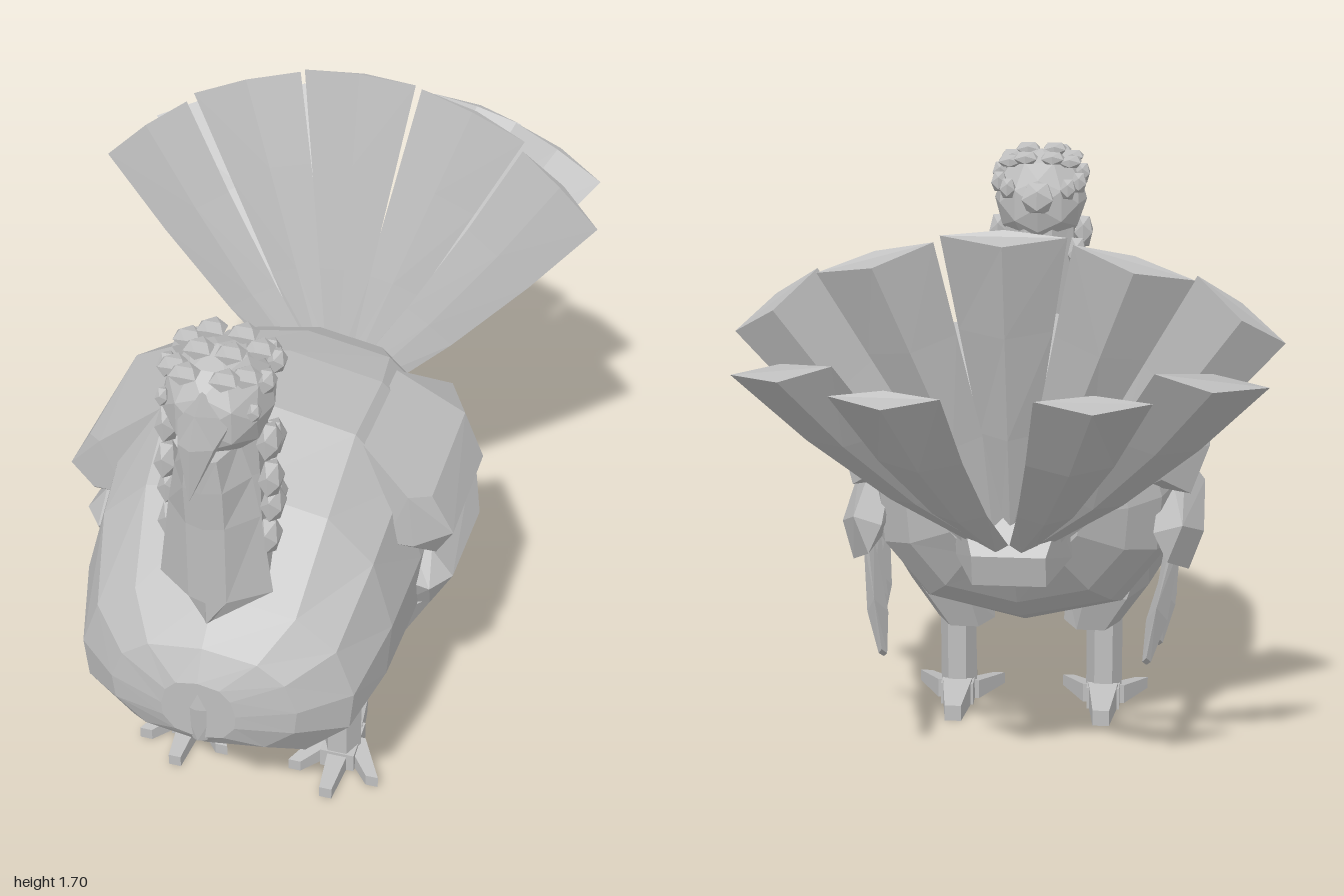
import * as THREE from 'three';
import { ConvexGeometry } from 'three/addons/geometries/ConvexGeometry.js';

const grey = new THREE.MeshStandardMaterial({ color: 0xbebebe });
grey.name = 'plain grey';

const V = (p) => new THREE.Vector3(...p);
const mirror = (points, s) => points.map(([x, y, z]) => [x * s, y, z]);
const lerp = (a, b, t) => a.map((v, i) => v + (b[i] - v) * t);

function add(parent, name, geometry) {
  const mesh = new THREE.Mesh(geometry, grey);
  mesh.name = name;
  parent.add(mesh);
  return mesh;
}

// Faceted solid around a few corner points
const hull = (points) => new ConvexGeometry(points.map(V));

// Faceted skin over closed rings, capped at both ends and always facing outwards
function loft(rings) {
  const tris = [];
  const n = rings[0].length;
  for (let r = 0; r < rings.length - 1; r++) {
    for (let i = 0; i < n; i++) {
      const j = (i + 1) % n;
      const a = rings[r][i], b = rings[r][j], c = rings[r + 1][j], d = rings[r + 1][i];
      tris.push([a, b, c], [a, c, d]);
    }
  }
  const first = rings[0], last = rings[rings.length - 1];
  for (let i = 1; i < n - 1; i++) {
    tris.push([first[0], first[i + 1], first[i]], [last[0], last[i], last[i + 1]]);
  }
  const volume = tris.reduce((s, [a, b, c]) => s + V(a).dot(V(b).cross(V(c))), 0);
  if (volume < 0) tris.forEach((t) => t.reverse());
  const g = new THREE.BufferGeometry();
  g.setAttribute('position', new THREE.Float32BufferAttribute(tris.flat(2), 3));
  g.computeVertexNormals();
  return g;
}

// Body: [z, bottom, top, half width], each on the same twelve-sided outline
function bodyGeometry() {
  const sections = [
    [0.985, 0.57, 0.76, 0.1], [0.94, 0.51, 0.84, 0.25], [0.83, 0.40, 0.93, 0.37],
    [0.64, 0.36, 1.13, 0.42], [0.42, 0.36, 1.245, 0.44], [0.15, 0.37, 1.22, 0.44],
    [-0.02, 0.45, 1.17, 0.40], [-0.14, 0.54, 1.10, 0.31], [-0.25, 0.70, 0.99, 0.18],
  ];
  const half = [[0, 1], [0.58, 0.94], [0.87, 0.78], [1, 0.52], [0.97, 0.3], [0.65, 0.08], [0, 0]];
  const outline = [...half, ...half.slice(1, -1).reverse().map(([x, y]) => [-x, y])];
  return loft(sections.map(([z, lo, hi, w]) => outline.map(([x, y]) => [x * w, lo + (hi - lo) * y, z])));
}

// Tail feather between two base corners and two tip corners, with a raised spine
function tailFeather(b0, b1, t0, t1, sag, thick) {
  const rings = [0, 0.35, 0.7, 1].map((t) => {
    const bow = 4 * t * (1 - t);
    const shift = ([x, y, z]) => [x, y - bow * sag, z];
    const p = shift(lerp(b0, t0, t)), q = shift(lerp(b1, t1, t));
    const m = lerp(p, q, 0.5);
    const k = thick * (0.5 + 0.5 * t);
    return [p, [m[0], m[1] + k * 0.3, m[2] + k * 0.2], q, [m[0], m[1] - k * 0.3, m[2] - k]];
  });
  return loft(rings);
}

// Tapered bar between two points, built from two rectangles
function bar(a, b, wa, ha, wb, hb) {
  const corners = ([x, y, z], w, h) => [[-w, -h], [w, -h], [w, h], [-w, h]].map(([u, v]) => [x + u, y + v, z]);
  return hull([...corners(a, wa, ha), ...corners(b, wb, hb)]);
}

function ring(y, zc, rx, rz, n = 8, x = 0) {
  return Array.from({ length: n }, (_, i) => {
    const a = ((i + 0.5) / n) * Math.PI * 2;
    return [x + Math.sin(a) * rx, y, zc + Math.cos(a) * rz];
  });
}

function bump(parent, name, x, y, z, sx, sy, sz, detail = 0) {
  const g = new THREE.IcosahedronGeometry(1, detail).scale(sx, sy, sz);
  g.computeVertexNormals();
  add(parent, name, g).position.set(x, y, z);
}

function buildHead(group) {
  add(group, 'neck', loft([ring(0.95, 0.7, 0.14, 0.18), ring(1.15, 0.725, 0.12, 0.12),
    ring(1.3, 0.725, 0.115, 0.11), ring(1.46, 0.73, 0.11, 0.11)]));

  // Hanging strip down the front of the neck, widening to a pointed bib
  const strip = [[0.89, 0.02, 0.01, 0.9], [0.96, 0.15, 0.05, 0.9], [1.2, 0.12, 0.05, 0.9],
    [1.32, 0.1, 0.05, 0.91], [1.42, 0.07, 0.04, 0.915]];
  add(group, 'wattle', loft(strip.map(([y, w, f, z]) =>
    [[-w, y, 0.81], [-f, y, z - 0.015], [0, y, z], [f, y, z - 0.015], [w, y, 0.81]])));

  bump(group, 'head', 0, 1.505, 0.745, 0.14, 0.15, 0.155, 1);
  bump(group, 'napeLump', 0, 1.53, 0.61, 0.055, 0.055, 0.045);
  add(group, 'beak', hull([[-0.07, 1.52, 0.85], [0.07, 1.52, 0.85], [0, 1.6, 0.87], [0, 1.57, 0.93],
    [-0.045, 1.48, 0.93], [0.045, 1.48, 0.93], [0, 1.5, 0.975], [0, 1.36, 0.99], [0, 1.44, 0.88]]));

  for (const s of [-1, 1]) {
    // Fleshy lumps down the side of the neck
    [[0.13, 1.4, 0.76], [0.135, 1.29, 0.765], [0.135, 1.2, 0.75], [0.13, 1.11, 0.77],
      [0.115, 1.35, 0.68], [0.12, 1.18, 0.69]].forEach(([x, y, z]) =>
      bump(group, 'neckLump', x * s, y, z, 0.032, 0.055, 0.05));
    // Tufts on the crown and temples
    [[0.04, 1.65, 0.77], [0.09, 1.62, 0.81], [0.09, 1.625, 0.7], [0.04, 1.64, 0.67], [0.05, 1.63, 0.85]]
      .forEach(([x, y, z]) => bump(group, 'crownTuft', x * s, y, z, 0.04, 0.022, 0.04));
    [[0.12, 1.57, 0.66], [0.09, 1.56, 0.61], [0.125, 1.58, 0.76]].forEach(([x, y, z]) =>
      bump(group, 'templeTuft', x * s, y, z, 0.026, 0.035, 0.035));
    bump(group, 'eye', 0.115 * s, 1.535, 0.83, 0.018, 0.026, 0.026);
  }
}

function buildWing(s) {
  const wing = new THREE.Group();
  wing.name = s > 0 ? 'leftWing' : 'rightWing';
  add(wing, 'upperWing', hull(mirror([
    [0.27, 1.17, 0.42], [0.27, 1.14, 0.05], [0.42, 1.09, 0.51], [0.47, 1.06, 0.45], [0.47, 1.06, 0.08],
    [0.53, 0.95, 0.45], [0.53, 0.94, 0.1], [0.48, 0.85, 0.42], [0.48, 0.83, 0.0], [0.39, 1.0, -0.12],
    [0.40, 0.91, -0.12], [0.36, 0.92, 0.5], [0.44, 0.94, 0.52], [0.36, 0.85, 0]], s)));
  add(wing, 'lowerWing', hull(mirror([
    [0.40, 0.84, 0.38], [0.46, 0.82, 0.38], [0.46, 0.78, -0.13], [0.38, 0.76, -0.14], [0.52, 0.74, 0.38],
    [0.52, 0.7, 0.05], [0.46, 0.63, 0.38], [0.48, 0.61, -0.02], [0.39, 0.62, 0.38], [0.42, 0.67, -0.13],
    [0.47, 0.73, 0.44], [0.38, 0.74, 0.43]], s)));
  // Leaf-shaped flight feathers pointing down and back
  const feathers = [[[0.43, 0.63, 0.27], [0.41, 0.41, 0.0]], [[0.44, 0.65, 0.14], [0.40, 0.41, -0.09]],
    [[0.44, 0.67, 0.01], [0.37, 0.41, -0.23]]];
  for (const [root, tip] of feathers) {
    const points = [[0, 0.025, 0.015], [0.65, 0.065, 0.03], [1, 0.022, 0.012]].flatMap(([t, w, d]) => {
      const [x, y, z] = lerp(root, tip, t);
      return [[x, y + w, z - w], [x + d, y, z], [x, y - w * 0.7, z + w * 0.7], [x - d, y, z]];
    });
    add(wing, 'wingFeather', hull(mirror(points, s)));
  }
  return wing;
}

function buildLeg(s) {
  const leg = new THREE.Group();
  leg.name = s > 0 ? 'leftLeg' : 'rightLeg';
  const x = 0.225 * s;
  add(leg, 'thigh', loft([ring(0.6, 0.32, 0.2, 0.13, 6, 0.26 * s), ring(0.42, 0.33, 0.125, 0.15, 6, 0.235 * s),
    ring(0.3, 0.32, 0.085, 0.09, 6, 0.19 * s)]));
  add(leg, 'shank', loft([ring(0.34, 0.4, 0.055, 0.065, 6, x), ring(0.03, 0.4, 0.055, 0.065, 6, x)]));
  add(leg, 'foot', bar([x, 0.035, 0.33], [x, 0.03, 0.46], 0.05, 0.035, 0.05, 0.03));
  for (const dx of [-0.115, 0, 0.115]) {
    const z = dx ? 0.5 : 0.58;
    add(leg, 'toe', bar([x + dx * 0.25, 0.03, 0.38], [x + dx, 0.018, z], 0.035, 0.03, 0.018, 0.018));
  }
  add(leg, 'hindToe', bar([x, 0.04, 0.35], [x, 0.025, 0.21], 0.045, 0.04, 0.025, 0.025));
  return leg;
}

function buildTail() {
  const tail = new THREE.Group();
  tail.name = 'tail';
  add(tail, 'rump', hull([[-0.16, 0.98, -0.24], [0.16, 0.98, -0.24], [-0.16, 0.72, -0.24], [0.16, 0.72, -0.24],
    [-0.13, 0.87, -0.34], [0.13, 0.87, -0.34], [-0.1, 0.78, -0.41], [0.1, 0.78, -0.41], [-0.1, 0.69, -0.39], [0.1, 0.69, -0.39]]));

  // Upright front fan
  add(tail, 'centreFeather', tailFeather([-0.03, 0.82, -0.32], [0.03, 0.82, -0.32],
    [-0.16, 1.685, -0.53], [0.16, 1.685, -0.53], 0, 0.05));
  for (const s of [-1, 1]) {
    const quill = (name, corners, sag) => add(tail, name, tailFeather(...mirror(corners, s), sag, 0.05));
    quill('frontInnerFeather', [[0.01, 0.82, -0.33], [0.08, 0.82, -0.33], [0.175, 1.67, -0.54], [0.48, 1.575, -0.5]], 0);
    quill('frontOuterFeather', [[0.04, 0.82, -0.31], [0.13, 0.78, -0.31], [0.485, 1.575, -0.45], [0.715, 1.39, -0.405]], 0.03);
    // Swept-back rear fan
    quill('rearInnerFeather', [[0.0, 0.8, -0.38], [0.07, 0.8, -0.38], [0.11, 1.4, -0.99], [0.39, 1.38, -0.92]], 0.05);
    quill('rearOuterFeather', [[0.03, 0.82, -0.36], [0.11, 0.8, -0.35], [0.39, 1.43, -0.84], [0.67, 1.36, -0.7]], 0.04);
  }
  return tail;
}

export function createModel() {
  const bird = new THREE.Group();
  bird.name = 'turkey';
  add(bird, 'body', bodyGeometry());
  // Tuft hanging on the breast
  add(bird, 'beard', hull([[-0.03, 0.78, 0.93], [0.03, 0.78, 0.93], [-0.045, 0.66, 0.97], [0.045, 0.66, 0.97],
    [0, 0.68, 1.0], [-0.02, 0.56, 0.98], [0.02, 0.56, 0.98], [0, 0.57, 0.998], [0, 0.78, 0.965]]));
  buildHead(bird);
  for (const s of [-1, 1]) bird.add(buildWing(s), buildLeg(s));
  bird.add(buildTail());
  return bird;
}
